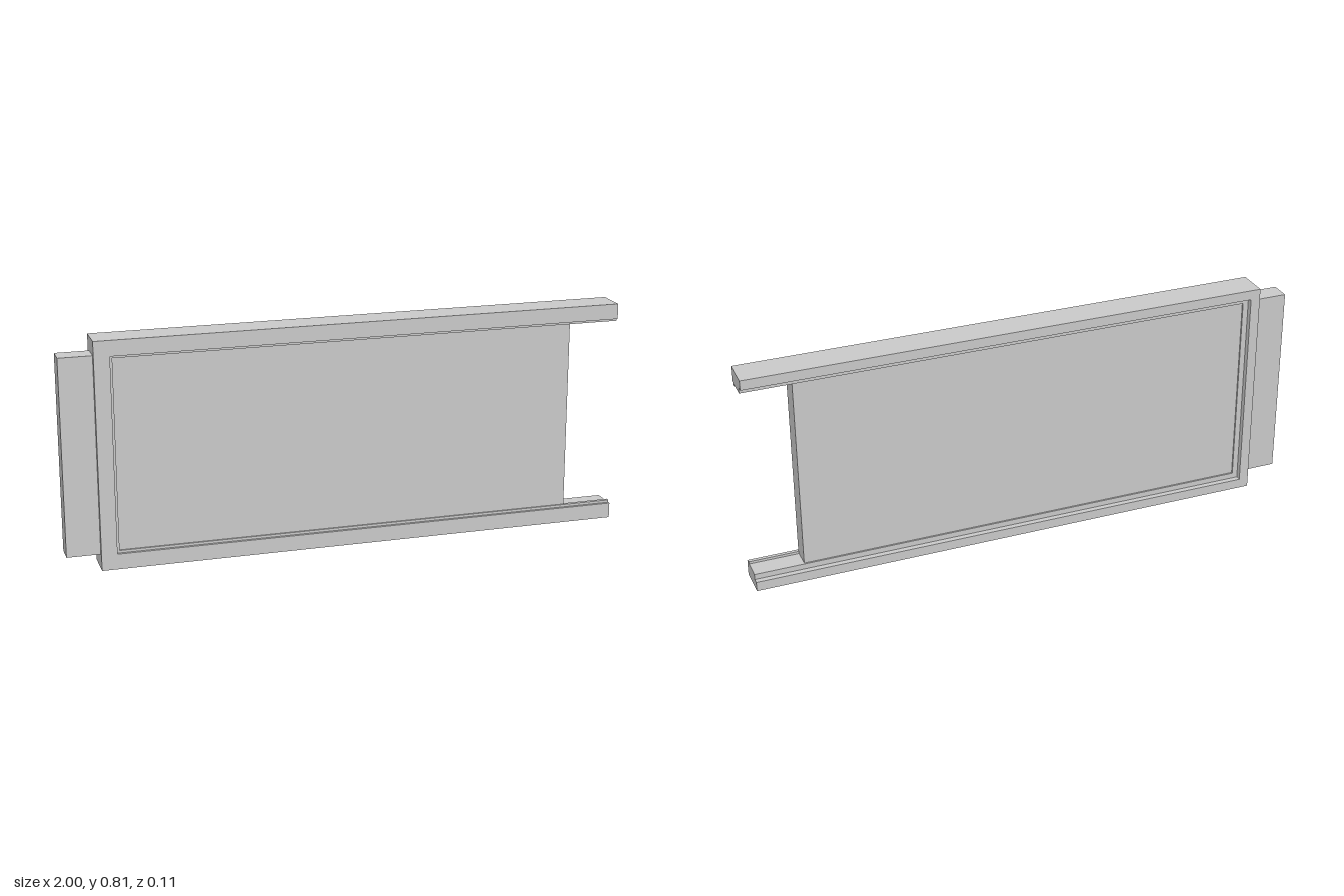
import * as THREE from 'three';

const HEIGHT = 0.807, LEFT = -0.883, RIGHT = 1;

// Frame cross-section: [inset from the outer edge, z]
const PROFILE = [
  [0, -0.057], [0.035, -0.057], [0.035, -0.037], [0.055, -0.037], [0.055, 0.034],
  [0.064, 0.034], [0.064, 0.047], [0.055, 0.047], [0.055, 0.057], [0, 0.057],
];

// Sweep the cross-section along a mitred U: bottom rail, side stile, top rail
function frameGeometry() {
  const stations = [
    t => [RIGHT, t],
    t => [LEFT + t, t],
    t => [LEFT + t, HEIGHT - t],
    t => [RIGHT, HEIGHT - t],
  ];
  const n = PROFILE.length;
  const positions = [], index = [];
  for (const at of stations)
    for (const [t, z] of PROFILE) positions.push(...at(t), z);

  for (let s = 0; s < stations.length - 1; s++)
    for (let i = 0; i < n; i++) {
      const j = (i + 1) % n;
      const a0 = s * n + i, b0 = s * n + j, a1 = a0 + n, b1 = b0 + n;
      index.push(a0, a1, b1, a0, b1, b0);
    }

  // Close the two open rail ends
  const contour = PROFILE.map(([t, z]) => new THREE.Vector2(-z, t));
  const last = (stations.length - 1) * n;
  for (const [a, b, c] of THREE.ShapeUtils.triangulateShape(contour, []))
    index.push(a, b, c, last + a, last + c, last + b);

  const indexed = new THREE.BufferGeometry();
  indexed.setAttribute('position', new THREE.Float32BufferAttribute(positions, 3));
  indexed.setIndex(index);
  const geometry = indexed.toNonIndexed();
  geometry.computeVertexNormals();
  return geometry;
}

export function createModel() {
  const group = new THREE.Group();
  group.name = 'slidingPanelInFrame';
  const material = new THREE.MeshStandardMaterial({ color: 0xcccccc, flatShading: true });

  // Three-sided frame with stepped rails, open on one side
  const frame = new THREE.Mesh(frameGeometry(), material);
  frame.name = 'frame';
  group.add(frame);

  // Sliding panel, passing through the stile
  const x0 = -1, x1 = 0.823, y0 = 0.055, y1 = HEIGHT - 0.052, z0 = -0.031, z1 = 0.041;
  const panel = new THREE.Mesh(new THREE.BoxGeometry(x1 - x0, y1 - y0, z1 - z0), material);
  panel.position.set((x0 + x1) / 2, (y0 + y1) / 2, (z0 + z1) / 2);
  panel.name = 'slidingPanel';
  group.add(panel);

  return group;
}
